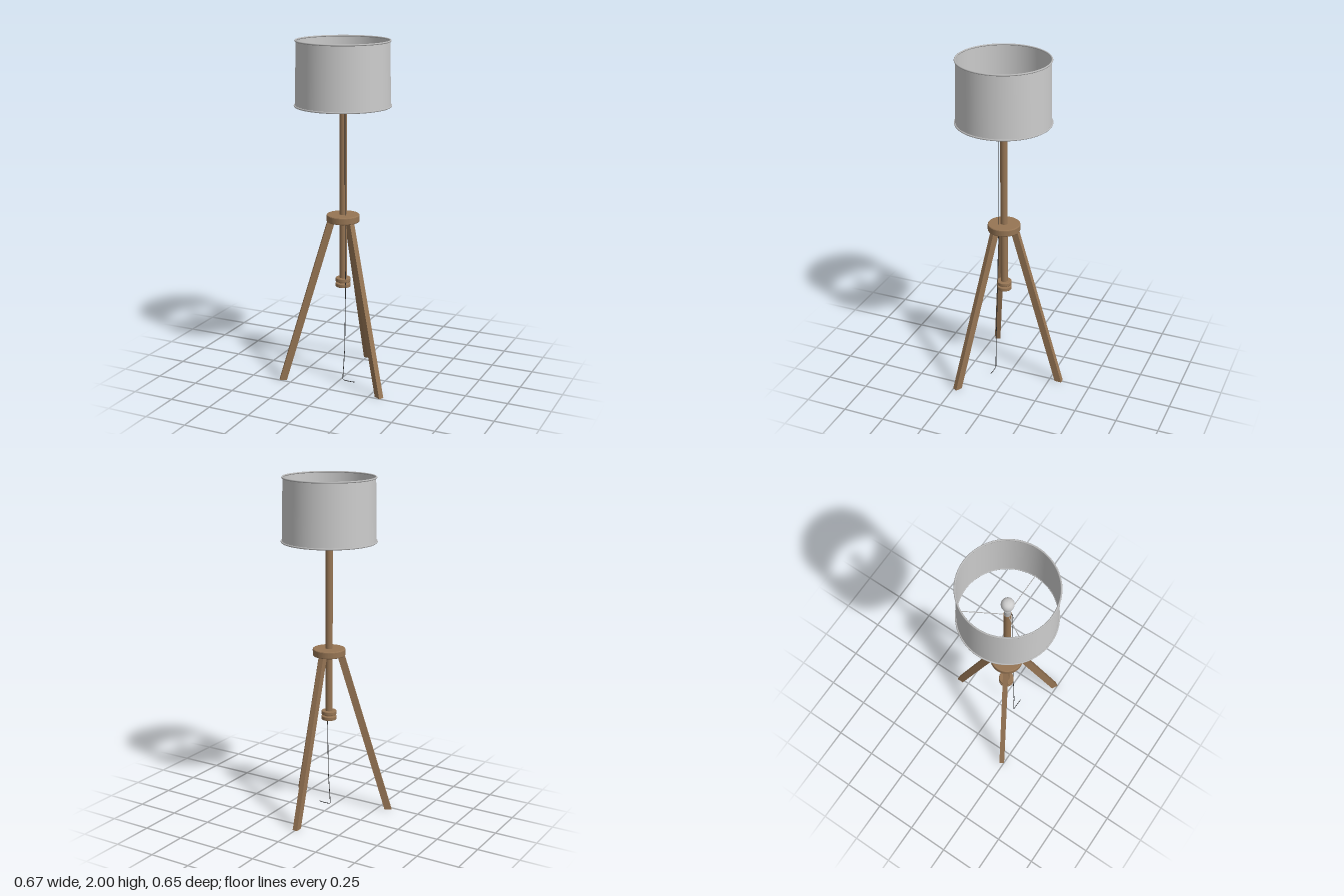
import * as THREE from 'three';

const mat = (name, color, side = THREE.FrontSide) => {
  const m = new THREE.MeshStandardMaterial({ color, side });
  m.name = name;
  return m;
};

export function createModel() {
  const wood = mat('wood', 0x967554);
  const fabric = mat('shade fabric', 0xcccccc, THREE.DoubleSide);
  const metal = mat('metal', 0xb8b8b8);
  const black = mat('cord black', 0x2a2a2a);

  const model = new THREE.Group();
  model.name = 'floorLamp';
  const lamp = new THREE.Group(); // everything shares the pole's axis
  lamp.name = 'lamp';
  lamp.position.z = 0.05;
  model.add(lamp);

  const add = (name, geometry, material, y = 0) => {
    const mesh = new THREE.Mesh(geometry, material);
    mesh.name = name;
    mesh.position.y = y;
    lamp.add(mesh);
    return mesh;
  };
  const cylinder = (name, r, y0, y1, material) =>
    add(name, new THREE.CylinderGeometry(r, r, y1 - y0, 32), material, (y0 + y1) / 2);

  // Disc with a small bevel on both edges
  const disc = (name, r, y0, y1, bevel) => {
    const shape = new THREE.Shape().absarc(0, 0, r - bevel, 0, Math.PI * 2);
    const g = new THREE.ExtrudeGeometry(shape, {
      depth: y1 - y0 - 2 * bevel, bevelSize: bevel, bevelThickness: bevel,
      bevelSegments: 3, curveSegments: 32,
    });
    g.rotateX(-Math.PI / 2).translate(0, bevel, 0);
    return add(name, g, wood, y0);
  };

  // Tripod: slanted legs, cut level at the floor and under the hub
  const legHeight = 0.975;
  for (let i = 0; i < 3; i++) {
    const g = new THREE.BoxGeometry(0.042, legHeight, 0.03);
    g.translate(0, legHeight / 2, 0);
    const p = g.attributes.position;
    for (let k = 0; k < p.count; k++) {
      p.setX(k, p.getX(k) + THREE.MathUtils.lerp(0.357, 0.066, p.getY(k) / legHeight));
    }
    g.computeVertexNormals();
    add('leg', g, wood).rotation.y = Math.PI / 2 + (i * Math.PI * 2) / 3;
  }
  disc('hub', 0.095, 0.963, 1.005, 0.006);

  // Sliding pole with its grooved end knob
  cylinder('pole', 0.021, 0.6, 1.66, wood);
  disc('upperKnob', 0.044, 0.602, 0.625, 0.004);
  cylinder('knobNeck', 0.026, 0.585, 0.61, wood);
  disc('lowerKnob', 0.044, 0.571, 0.594, 0.004);

  // Open drum shade with rolled rims
  add('shade', new THREE.CylinderGeometry(0.261, 0.268, 0.36, 64, 1, true), fabric, 1.815);
  for (const [name, r, y] of [['topRim', 0.263, 1.994], ['bottomRim', 0.27, 1.634]]) {
    const g = new THREE.TorusGeometry(r, 0.005, 10, 64);
    g.rotateX(Math.PI / 2);
    add(name, g, metal, y);
  }

  // Spokes carrying the shade
  for (let i = 0; i < 3; i++) {
    const g = new THREE.CylinderGeometry(0.0025, 0.0025, 0.267, 8);
    g.rotateZ(Math.PI / 2).translate(0.1335, 0, 0);
    add('spoke', g, metal, 1.65).rotation.y = (i * Math.PI * 2) / 3;
  }

  // Socket and bulb
  cylinder('socket', 0.019, 1.655, 1.71, metal);
  const bulb = new THREE.SplineCurve([
    [0.015, 1.705], [0.017, 1.725], [0.03, 1.755], [0.036, 1.785],
    [0.031, 1.806], [0.018, 1.818], [0, 1.822],
  ].map(([x, y]) => new THREE.Vector2(x, y)));
  const profile = bulb.getPoints(24);
  profile.forEach((v) => { v.x = Math.max(v.x, 0); });
  add('bulb', new THREE.LatheGeometry(profile, 32), fabric);

  // Power cord hanging down to the floor
  const path = new THREE.CurvePath();
  const points = [
    [0.015, 1.655, 0.015], [0.022, 1.6, 0.02], [0.024, 1, 0.024], [0.03, 0.55, 0.032],
    [0.03, 0.2, 0.043], [0.02, 0.006, 0.05], [0.06, 0.003, 0.05], [0.098, 0.005, 0.052],
  ].map((v) => new THREE.Vector3(...v));
  for (let i = 1; i < points.length; i++) path.add(new THREE.LineCurve3(points[i - 1], points[i]));
  add('cord', new THREE.TubeGeometry(path, 160, 0.002, 6), black);

  return model;
}
